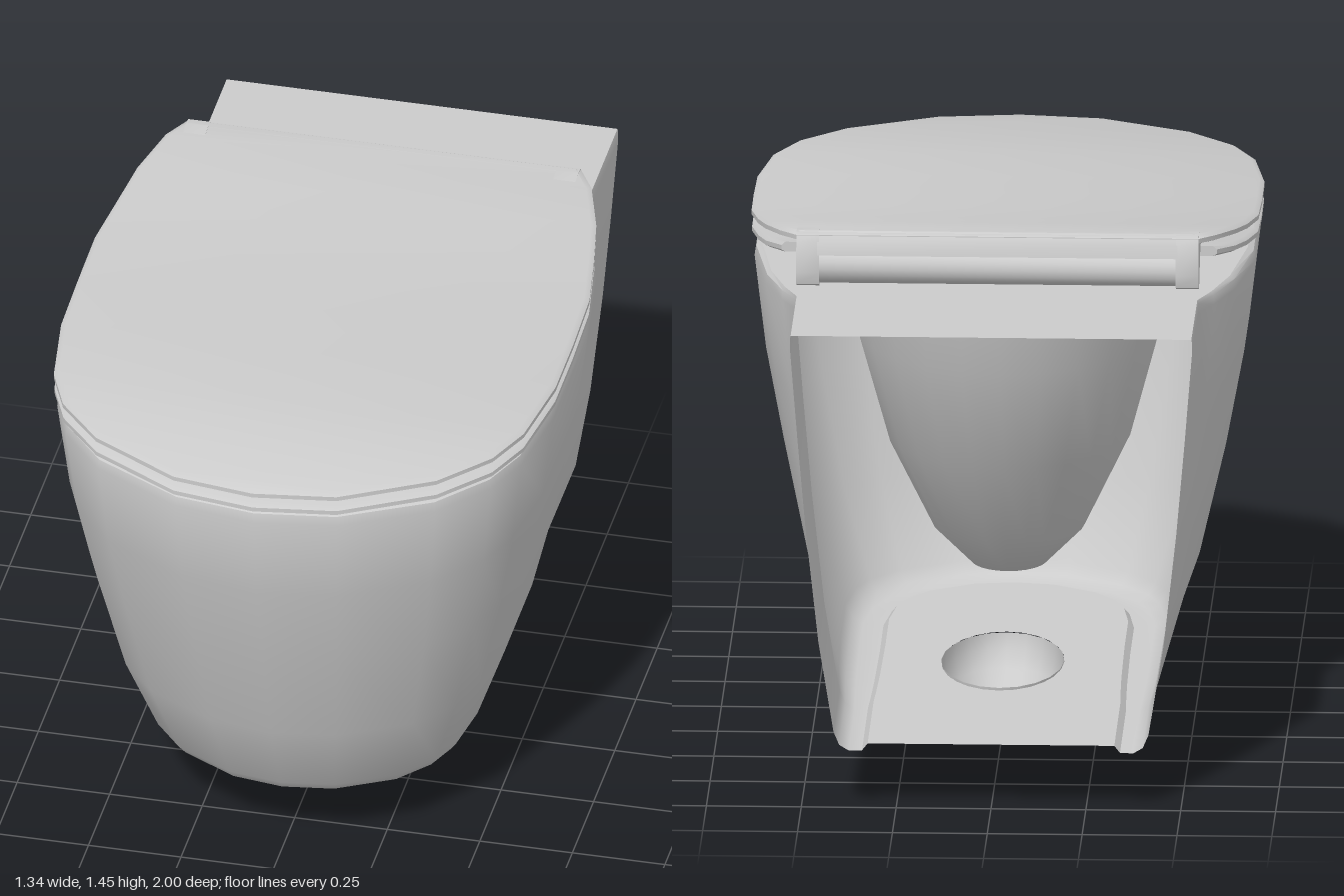
import * as THREE from 'three';
import { toCreasedNormals } from 'three/addons/utils/BufferGeometryUtils.js';

const material = new THREE.MeshStandardMaterial({ color: 0xcccccc, side: THREE.DoubleSide });
const V = (x, y, z) => new THREE.Vector3(x, y, z);

function add(parent, name, geometry, crease = 0.65) {
  const mesh = new THREE.Mesh(toCreasedNormals(geometry, crease), material);
  mesh.name = name;
  parent.add(mesh);
  return mesh;
}

// Skin between rings of equal length, listed from bottom to top outside
function loft(rings, { wrap = false, bottom = false, top = false, loop = false } = {}) {
  const n = rings[0].length, index = [];
  const positions = rings.flat().flatMap((p) => [p.x, p.y, p.z]);
  const rows = loop ? rings.length : rings.length - 1;
  for (let r = 0; r < rows; r++) {
    const a = r * n, b = ((r + 1) % rings.length) * n;
    for (let i = 0; i < (wrap ? n : n - 1); i++) {
      const j = (i + 1) % n;
      index.push(a + i, b + j, a + j, a + i, b + i, b + j);
    }
  }
  // Caps run in strips from side to side
  const cap = (o, up) => {
    for (let i = 0; i < Math.floor(n / 2); i++) {
      const R = o + i, L = o + n - 1 - i, R2 = R + 1, L2 = L - 1;
      const tris = [[R, L, L2], [R, L2, R2]];
      for (const [p, q, s] of tris) if (p !== q && q !== s && p !== s) index.push(...(up ? [p, q, s] : [p, s, q]));
    }
  };
  if (bottom) cap(0, false);
  if (top) cap((rings.length - 1) * n, true);
  const g = new THREE.BufferGeometry();
  g.setAttribute('position', new THREE.Float32BufferAttribute(positions, 3));
  g.setIndex(index);
  return g;
}

// Right half, back to front, then mirrored to the left
const mirror = (half) => [...half, ...half.slice(0, -1).reverse().map((p) => V(-p.x, p.y, p.z))];

const ellipse = (y, cz, rx, rz, n = 24) => Array.from({ length: n }, (_, i) => {
  const a = (i / n) * Math.PI * 2;
  return V(Math.cos(a) * rx, y, cz + Math.sin(a) * rz);
});

// Flat sheet with an opening, at a height that may vary with z
function plate(outline, hole, height) {
  const flat = (pts) => pts.map((p) => new THREE.Vector2(p.x, -p.z));
  const shape = new THREE.Shape(flat(outline));
  shape.holes.push(new THREE.Path(flat(hole)));
  const g = new THREE.ShapeGeometry(shape).rotateX(-Math.PI / 2);
  const p = g.attributes.position;
  for (let i = 0; i < p.count; i++) p.setY(i, height(p.getZ(i)));
  return g;
}

// Body plan: y, widest half width, front reach, half width at the wall, slope share
const nose = [[1, 0.34], [0.95, 0.57], [0.87, 0.7], [0.69, 0.84], [0.33, 0.968], [0, 1]];
const slope = (z) => 0.0154 * (z - 0.62);
function bodyRing([y, w, f, b, s]) {
  const half = [[0, -1], [0, -0.6], [0.3, -0.51], [0.68, -0.35], [1, -0.06]].map(([k, z]) => V(b + (w - b) * k, y, z));
  nose.forEach(([u, v]) => half.push(V(w * u, y, f * v)));
  half.forEach((p) => { p.y += s * slope(p.z); });
  return mirror(half);
}

// Height of the lid's upper face along z
const crown = [[-0.54, 1.45], [-0.4, 1.43], [-0.2, 1.396], [0, 1.375], [0.3, 1.364], [1, 1.356]];
function crownY(z) {
  let i = 0;
  while (i < crown.length - 2 && z > crown[i + 1][0]) i++;
  const [a, b] = [crown[i], crown[i + 1]];
  return a[1] + (b[1] - a[1]) * THREE.MathUtils.clamp((z - a[0]) / (b[0] - a[0]), 0, 1);
}

const lidPlan = [[0.53, -0.56], [0.575, -0.49], [0.62, -0.35], [0.645, -0.21], [0.668, -0.06], [0.67, 0.14],
  [0.668, 0.34], [0.635, 0.57], [0.58, 0.7], [0.46, 0.835], [0.22, 0.968], [0, 1]];

// Lid-shaped ring, inset by a margin and dropped below the crown
function coverRing(inset, drop, back = -0.56, scale = 1) {
  return mirror(lidPlan.map(([x, z]) => {
    const k = scale - inset;
    const zz = Math.max(back, 0.15 + (z - 0.15) * k);
    return V(x * k, crownY(zz) - drop, zz);
  }));
}

export function createModel() {
  const model = new THREE.Group();
  model.name = 'wallHungToilet';

  // Outer shell, open towards the wall
  const levels = [
    [0.2, 0.315, 0.545, 0.325, 1], [0.181, 0.33, 0.56, 0.34, 1], [0.18, 0.385, 0.615, 0.375, 1],
    [0.195, 0.412, 0.65, 0.4, 1], [0.225, 0.432, 0.676, 0.415, 0.8], [0.45, 0.513, 0.78, 0.455, 0],
    [0.75, 0.583, 0.872, 0.488, 0], [1, 0.63, 0.95, 0.51, 0], [1.25, 0.66, 0.99, 0.53, 0],
    [1.275, 0.655, 0.985, 0.53, 0], [1.285, 0.64, 0.97, 0.528, 0],
  ];
  const rings = levels.map(bodyRing);
  add(model, 'bodyShell', loft(rings));

  // Rim deck with bowl opening, and recessed floor with trap opening
  add(model, 'rimDeck', plate(rings[rings.length - 1], ellipse(0, 0.17, 0.42, 0.55), () => 1.285));
  add(model, 'bodyFloor', plate(rings[0], ellipse(0, -0.205, 0.162, 0.28), (z) => 0.2 + slope(z)));

  // Bowl hanging inside the shell
  add(model, 'bowl', loft([
    [0.33, 0.22, 0.02, 0.02], [0.35, 0.22, 0.1, 0.12], [0.45, 0.22, 0.2, 0.22], [0.7, 0.2, 0.32, 0.36],
    [1, 0.17, 0.4, 0.5], [1.285, 0.17, 0.42, 0.55],
  ].map((e) => ellipse(...e)), { wrap: true }), 0.9);

  // Rounded trap below the floor
  add(model, 'trap', loft([
    [0, -0.21, 0.005, 0.01], [0, -0.21, 0.04, 0.07], [0.025, -0.21, 0.1, 0.145], [0.105, -0.205, 0.147, 0.235],
    [0.15, -0.205, 0.16, 0.272], [0.19, -0.205, 0.162, 0.28],
  ].map((e) => ellipse(...e, 20)), { wrap: true }), 0.9);

  // Seat ring
  add(model, 'seat', loft([
    coverRing(0.02, 0.072, -0.45), coverRing(0.002, 0.066, -0.45), coverRing(0.002, 0.054, -0.45),
    coverRing(0.02, 0.045, -0.45), coverRing(0, 0.045, -0.3, 0.62), coverRing(0, 0.072, -0.3, 0.62),
  ], { wrap: true, loop: true }));
  const mount = add(model, 'seatMount', new THREE.BoxGeometry(0.7, 0.05, 0.14));
  mount.position.set(0, 1.308, -0.24);

  // Lid
  add(model, 'lid', loft([
    coverRing(0.02, 0.026), coverRing(0, 0.021), coverRing(0, 0.009), coverRing(0.02, 0),
  ], { wrap: true, bottom: true, top: true }));

  // Hinge: curled lid ends with a barrel between them
  const hook = [[-0.4, 1.428], [-0.53, 1.449], [-0.555, 1.447], [-0.57, 1.425], [-0.585, 1.345], [-0.577, 1.312],
    [-0.545, 1.3], [-0.51, 1.31], [-0.482, 1.35], [-0.45, 1.38], [-0.4, 1.395]];
  const hookShape = new THREE.Shape(hook.map(([z, y]) => new THREE.Vector2(-z, y)));
  for (const side of [-1, 1]) {
    const g = new THREE.ExtrudeGeometry(hookShape, { depth: 0.06, bevelEnabled: false });
    g.rotateY(Math.PI / 2).translate(side * 0.5 - 0.03, 0, 0);
    add(model, side > 0 ? 'leftHingeEnd' : 'rightHingeEnd', g);
  }
  const back = new THREE.Shape([[-0.4, 1.425], [-0.53, 1.448], [-0.555, 1.446], [-0.57, 1.425], [-0.578, 1.39],
    [-0.5, 1.38], [-0.4, 1.395]].map(([z, y]) => new THREE.Vector2(-z, y)));
  const backGeo = new THREE.ExtrudeGeometry(back, { depth: 0.95, bevelEnabled: false });
  add(model, 'lidBackEdge', backGeo.rotateY(Math.PI / 2).translate(-0.475, 0, 0));
  const barrel = add(model, 'hingeBarrel', new THREE.CylinderGeometry(0.047, 0.047, 0.94, 16).rotateZ(Math.PI / 2));
  barrel.position.set(0, 1.352, -0.53);

  return model;
}
